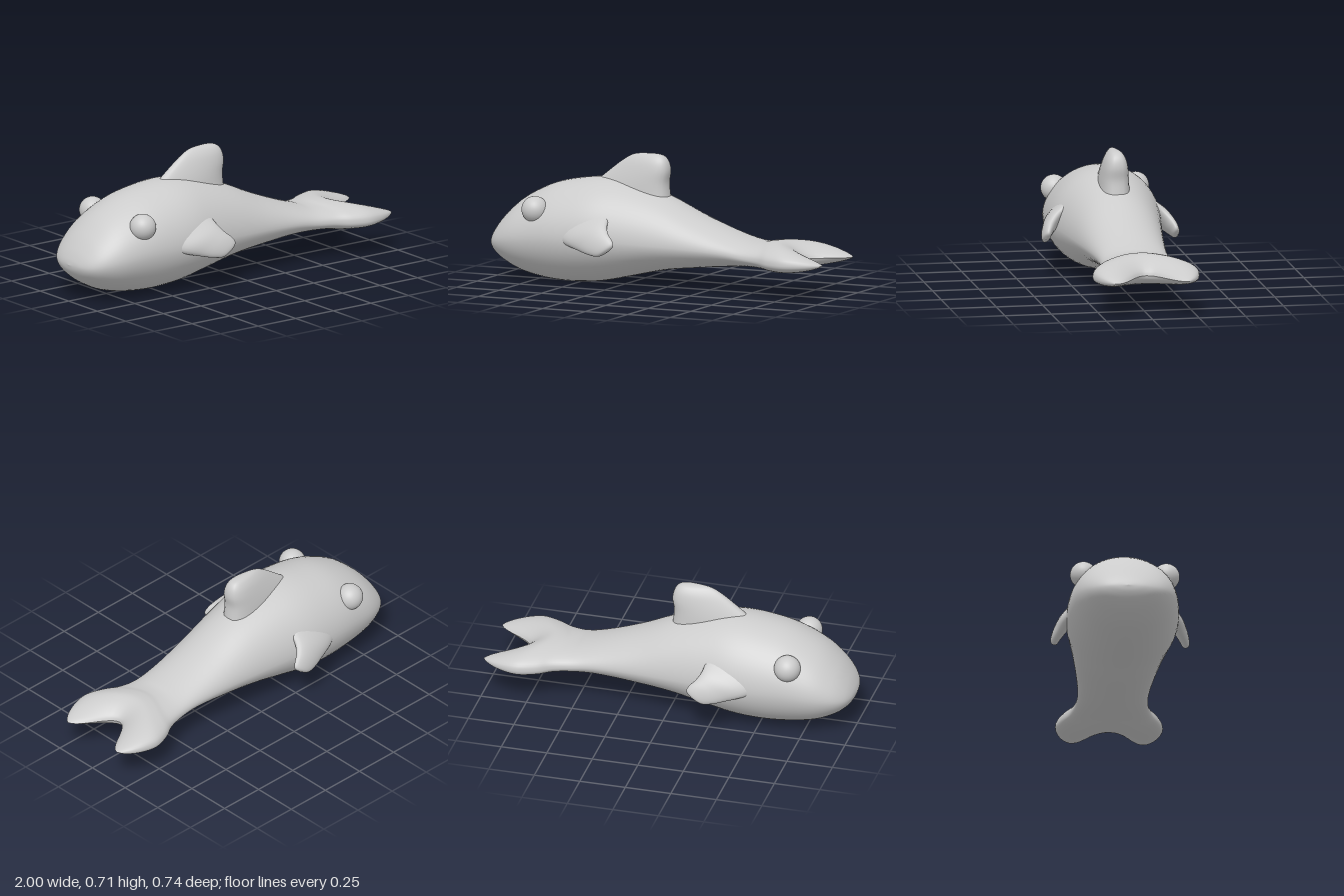
import * as THREE from 'three';

const material = new THREE.MeshStandardMaterial({ color: 0xcccccc });

// Smooth skin over closed rings of points, always facing outwards
function loft(name, rings) {
  const n = rings[0].length, pos = rings.flat().flatMap(p => p.toArray());
  let index = [], volume = 0;
  for (let i = 0; i < rings.length - 1; i++) {
    for (let j = 0; j < n; j++) {
      const k = (j + 1) % n;
      const a = i * n + j, b = i * n + k, c = a + n, d = b + n;
      index.push(a, b, c, b, d, c);
    }
  }
  const at = i => new THREE.Vector3().fromArray(pos, i * 3);
  for (let i = 0; i < index.length; i += 3) {
    volume += at(index[i]).dot(at(index[i + 1]).cross(at(index[i + 2])));
  }
  if (volume < 0) index.reverse();
  const g = new THREE.BufferGeometry();
  g.setAttribute('position', new THREE.Float32BufferAttribute(pos, 3));
  g.setIndex(index);
  g.computeVertexNormals();
  const mesh = new THREE.Mesh(g, material);
  mesh.name = name;
  return mesh;
}

const curve = points => new THREE.CatmullRomCurve3(points.map(p => new THREE.Vector3(...p)), false, 'catmullrom');

// Points around a ring, from a rule of cosine and sine
function ring(n, rule) {
  return Array.from({ length: n }, (_, j) => {
    const a = (j / n) * Math.PI * 2;
    return rule(Math.cos(a), Math.sin(a));
  });
}

// Body and forked tail: x, bottom, top, half width, height of widest point
function makeBody() {
  const stations = [
    [-1, 0.2, 0.2, 0, 0.2], [-0.99, 0.165, 0.235, 0.09, 0.2],
    [-0.96, 0.125, 0.29, 0.16, 0.205], [-0.9, 0.08, 0.365, 0.215, 0.22],
    [-0.8, 0.035, 0.45, 0.258, 0.24], [-0.65, 0.007, 0.523, 0.285, 0.26],
    [-0.5, 0.002, 0.557, 0.297, 0.265], [-0.35, 0.017, 0.57, 0.295, 0.265],
    [-0.2, 0.05, 0.55, 0.272, 0.26], [0, 0.095, 0.49, 0.24, 0.25],
    [0.2, 0.12, 0.4, 0.212, 0.24], [0.4, 0.14, 0.323, 0.19, 0.225],
    [0.52, 0.148, 0.288, 0.191, 0.21], [0.62, 0.148, 0.282, 0.214, 0.205],
    [0.7, 0.141, 0.29, 0.257, 0.2], [0.79, 0.136, 0.292, 0.285, 0.2],
    [0.87, 0.142, 0.275, 0.274, 0.2], [0.94, 0.157, 0.248, 0.245, 0.2],
    [0.985, 0.178, 0.222, 0.212, 0.2], [1, 0.2, 0.2, 0.19, 0.2],
  ];
  const heights = curve(stations.map(s => [s[0], s[1], s[2]]));
  const widths = curve(stations.map(s => [s[0], s[3], s[4]]));
  const rings = [];
  const steps = (stations.length - 1) * 5;
  for (let i = 0; i <= steps; i++) {
    const { x, y: bottom, z: top } = heights.getPoint(i / steps);
    const { y: width, z: mid } = widths.getPoint(i / steps);
    const power = THREE.MathUtils.lerp(1.07, 0.8, THREE.MathUtils.smoothstep(x, 0.3, 0.7));
    rings.push(ring(56, (c, s) => {
      const lift = Math.pow(Math.abs(s), power);
      const y = s > 0 ? mid + (top - mid) * lift : mid - (mid - bottom) * lift;
      // Pull the middle of the tail forward to make the notch
      const notch = 0.4 * Math.cos(Math.abs(c) * Math.PI / 2) ** 2;
      const px = x > 0.5 ? 0.5 + (x - 0.5) * (1 - notch) : x;
      return new THREE.Vector3(px, y, width * c);
    }));
  }
  return loft('body', rings);
}

// Back fin: height, front x, back x, half thickness; thickest near its rear
function makeBackFin() {
  const levels = [
    [0.42, -0.52, 0.02, 0.1], [0.5, -0.47, 0.008, 0.092], [0.56, -0.4, 0.003, 0.086],
    [0.62, -0.325, 0.012, 0.076], [0.665, -0.265, 0.005, 0.062],
    [0.695, -0.215, -0.015, 0.042], [0.708, -0.17, -0.045, 0.022], [0.712, -0.1, -0.1, 0],
  ];
  const edges = curve(levels.map(l => [l[1], l[0], l[2]]));
  const sizes = curve(levels.map(l => [l[3], l[0], 0]));
  const rings = [];
  for (let i = 0; i <= 35; i++) {
    const { x: front, y, z: back } = edges.getPoint(i / 35);
    const w = Math.max(0, sizes.getPoint(i / 35).x);
    rings.push(ring(32, (c, s) => new THREE.Vector3(
      (front + back) / 2 + c * (back - front) / 2,
      y,
      w * Math.sign(s) * Math.abs(s) ** 0.75 * (0.8 + 0.32 * c))));
  }
  return loft('backFin', rings);
}

// Side fin: a leading and a trailing edge with a lens-shaped section between
function makeSideFin(name, side) {
  const lead = curve([[-0.56, 0.27, 0.24], [-0.46, 0.238, 0.295], [-0.37, 0.215, 0.325],
    [-0.3, 0.2, 0.347], [-0.24, 0.196, 0.357], [-0.185, 0.222, 0.354]]);
  const trail = curve([[-0.23, 0.4, 0.2], [-0.225, 0.355, 0.27], [-0.2, 0.315, 0.312],
    [-0.168, 0.285, 0.333], [-0.155, 0.255, 0.345], [-0.185, 0.222, 0.354]]);
  const thickness = curve([[0.055, 0, 0], [0.045, 0, 0], [0.036, 0, 0], [0.028, 0, 0], [0.019, 0, 0], [0, 0, 0]]);
  const outward = new THREE.Vector3(0, 0.5, 0.85);
  const rings = [];
  for (let i = 0; i <= 30; i++) {
    const a = lead.getPoint(i / 30), b = trail.getPoint(i / 30), t = thickness.getPoint(i / 30).x;
    rings.push(ring(28, (c, s) => {
      const p = a.clone().lerp(b, (1 + c) / 2).addScaledVector(outward, s * t);
      p.z *= side;
      return p;
    }));
  }
  return loft(name, rings);
}

function makeEye(name, side) {
  const eye = new THREE.Mesh(new THREE.SphereGeometry(0.071, 32, 20), material);
  eye.position.set(-0.675, 0.402, 0.22 * side);
  eye.name = name;
  return eye;
}

export function createModel() {
  const group = new THREE.Group();
  group.name = 'whale';
  group.add(makeBody(), makeBackFin());
  for (const [label, side] of [['front', 1], ['rear', -1]]) {
    group.add(makeSideFin(label + 'SideFin', side), makeEye(label + 'Eye', side));
  }
  return group;
}
